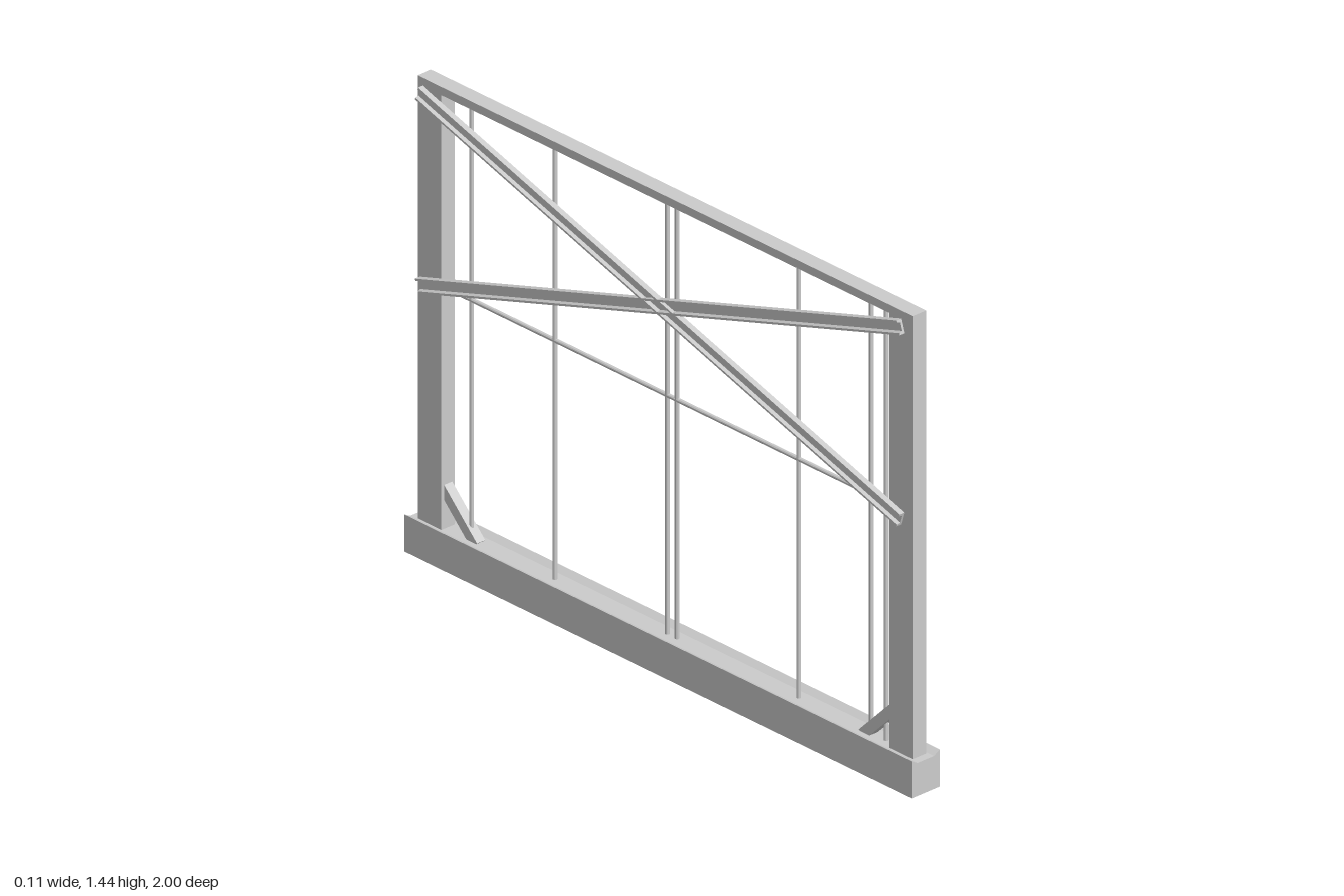
import * as THREE from 'three';

const mat = new THREE.MeshStandardMaterial({ color: 0xcccccc, flatShading: true });

export function createModel() {
  const model = new THREE.Group();

  const add = (name, geometry, x, y, z) => {
    const mesh = new THREE.Mesh(geometry, mat);
    mesh.name = name;
    mesh.position.set(x, y, z);
    model.add(mesh);
    return mesh;
  };
  const box = (name, w, h, d, x, y, z) => add(name, new THREE.BoxGeometry(w, h, d), x, y, z);

  // Constant section in x/y, extruded along z and centred
  const bar = (points, length) => {
    const shape = new THREE.Shape(points.map(([x, y]) => new THREE.Vector2(x, y)));
    const geometry = new THREE.ExtrudeGeometry(shape, { depth: length, bevelEnabled: false });
    return geometry.translate(0, 0, -length / 2);
  };

  // Base beam with a shallow trough along its top
  add('baseBeam', bar([
    [-0.052, 0], [0.052, 0], [0.052, 0.112], [0.03, 0.1], [-0.03, 0.1], [-0.052, 0.112],
  ], 2), 0, 0, 0);

  // Frame: top rail and two posts
  box('topRail', 0.05, 0.025, 1.95, 0, 1.4275, 0);
  for (const s of [1, -1]) {
    box(s > 0 ? 'frontPost' : 'backPost', 0.05, 1.317, 0.095, 0, 0.7575, s * 0.9275);

    // Short diagonal strut in the lower corner
    const strut = box(s > 0 ? 'frontCornerStrut' : 'backCornerStrut', 0.03, 0.2, 0.032, 0, 0.163, s * 0.833);
    strut.rotation.x = s * Math.PI / 4;
  }

  // Crossed channel braces on one side, open outwards
  const channel = [
    [0.009, -0.021], [0.009, 0.021], [-0.009, 0.021], [-0.009, 0.015],
    [0.002, 0.012], [0.002, -0.012], [-0.009, -0.015], [-0.009, -0.021],
  ];
  for (const s of [1, -1]) {
    const brace = add(s > 0 ? 'risingBrace' : 'fallingBrace', bar(channel, 1.985), -0.046, 1.114, 0);
    brace.rotation.x = -s * Math.atan(0.307);
  }

  // Thin upright rods and one horizontal rod
  const rod = (length) => new THREE.CylinderGeometry(0.0065, 0.0065, length, 10);
  for (const z of [0.842, 0.783, 0.499, 0.02, -0.018, -0.461, -0.788]) {
    add('uprightRod', rod(1.317), 0, 0.7575, z);
  }
  add('horizontalRod', rod(1.77), 0, 0.822, 0).rotation.x = Math.PI / 2;

  return model;
}
